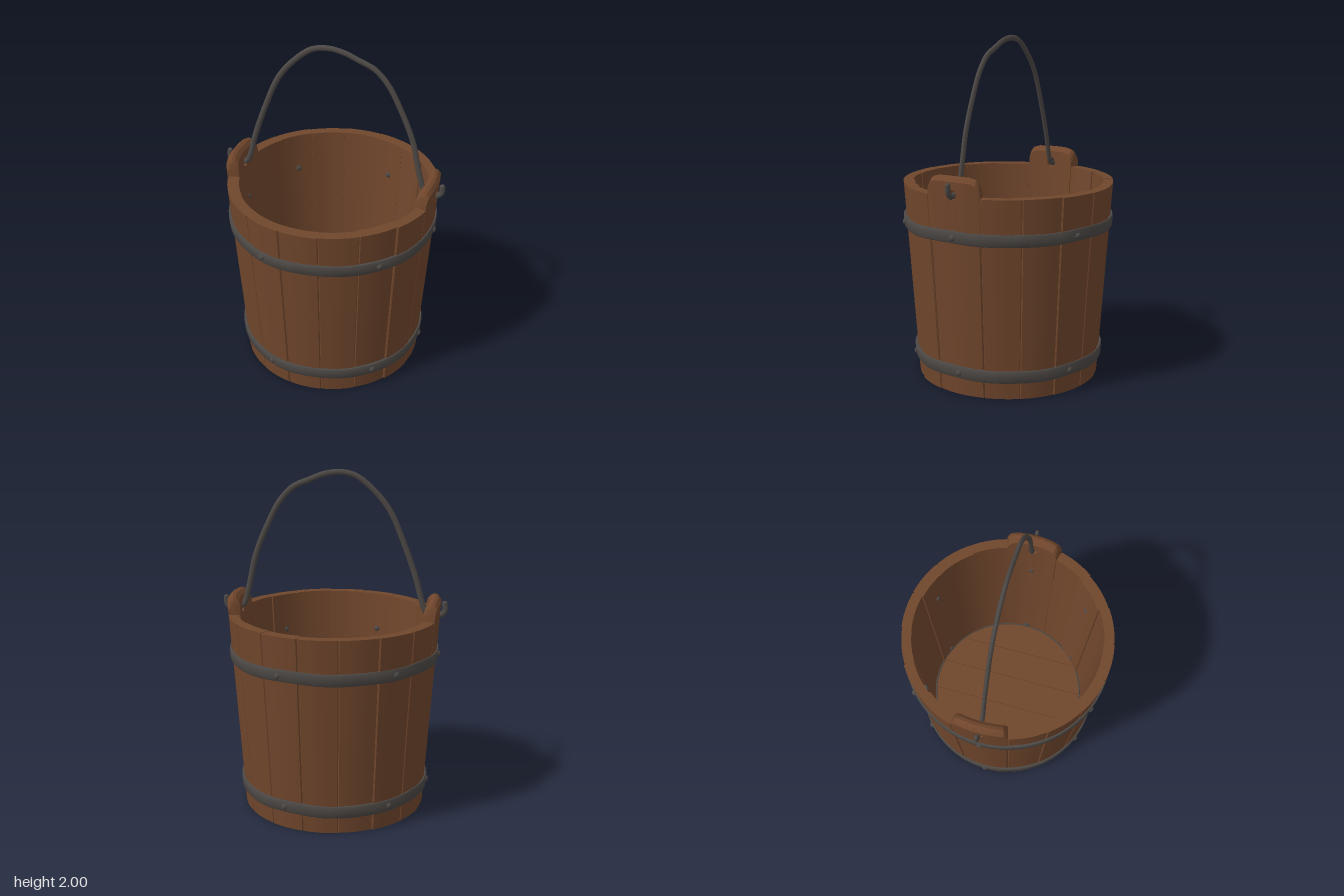
import * as THREE from 'three';
import { mergeGeometries, toCreasedNormals } from 'three/addons/utils/BufferGeometryUtils.js';

const wood = new THREE.MeshStandardMaterial({ name: 'brown wood', color: 0x70462c });
const iron = new THREE.MeshStandardMaterial({ name: 'dark iron', color: 0x4c4845 });

let seed = 7;
const jitter = (a) => {
  seed = (seed * 16807) % 2147483647;
  return (seed / 2147483647 - 0.5) * 2 * a;
};

// Outer wall radius at height y
const wallRadius = (y) => 0.543 + 0.066 * y;

function add(group, geometry, material, name) {
  const mesh = new THREE.Mesh(geometry, material);
  mesh.name = name;
  group.add(mesh);
  return mesh;
}

// Wrap a flat geometry around the tapered wall: x is angle, z is distance from the wall surface
function wrap(geometry, angle) {
  const p = geometry.attributes.position;
  for (let i = 0; i < p.count; i++) {
    const y = p.getY(i);
    const r = wallRadius(y) + p.getZ(i);
    const a = angle + p.getX(i);
    p.setXYZ(i, r * Math.sin(a), y, r * Math.cos(a));
  }
  return toCreasedNormals(geometry, 0.45);
}

// One stave with slightly eased outer edges
function stave(angle, halfAngle, height, loose = 1) {
  const depth = 0.062 + jitter(0.007) * loose;
  const offset = jitter(0.004) * loose;
  const g = new THREE.BoxGeometry(2, height, depth, 8, 1, 1);
  const p = g.attributes.position;
  for (let i = 0; i < p.count; i++) {
    const x = p.getX(i);
    const edge = Math.abs(x) > 0.99;
    const outer = p.getZ(i) > 0;
    const u = Math.abs(x) > 0.7 && !edge ? Math.sign(x) * 0.95 : x;
    const z = outer ? offset - (edge ? 0.007 : 0) : offset - depth;
    p.setXYZ(i, u * halfAngle, p.getY(i) + height / 2, z);
  }
  return wrap(g, angle);
}

// Raised ear with a hole, made from vertical strips so that it can curve
function ear(angle, half) {
  const xs = [-0.165, -0.157, -0.14, -0.1, -0.04, 0.04, 0.1, 0.14, 0.157, 0.165];
  const tops = [1.215, 1.24, 1.262, 1.273, 1.275, 1.275, 1.273, 1.262, 1.24, 1.215];
  const depth = 0.07;
  const strips = [];
  for (let i = 0; i < xs.length - 1; i++) {
    const s = new THREE.Shape([
      new THREE.Vector2(xs[i], 0.93), new THREE.Vector2(xs[i + 1], 0.93),
      new THREE.Vector2(xs[i + 1], tops[i + 1]), new THREE.Vector2(xs[i], tops[i]),
    ]);
    if (i === 4) s.holes.push(new THREE.Path().absarc(0, 1.175, 0.03, 0, Math.PI * 2, true));
    strips.push(new THREE.ExtrudeGeometry(s, { depth, steps: 4, bevelEnabled: false, curveSegments: 8 }));
  }
  const g = mergeGeometries(strips);
  const p = g.attributes.position;
  for (let i = 0; i < p.count; i++) {
    const t = (p.getZ(i) / depth) * 2 - 1;
    const y = p.getY(i);
    // Round the top edge across its thickness
    p.setXYZ(i, (p.getX(i) / 0.165) * half, y > 1.21 ? y - 0.028 * t * t : y, p.getZ(i) - depth + 0.002);
  }
  return wrap(g, angle);
}

// Flat iron band following the wall taper
function hoop(y0, y1) {
  const at = (y, d) => new THREE.Vector2(wallRadius(y) + d, y);
  const profile = [at(y0, -0.008), at(y0, 0.009), at(y0 + 0.008, 0.014), at(y1 - 0.008, 0.014),
    at(y1, 0.009), at(y1, -0.008)];
  const g = new THREE.LatheGeometry(profile, 64);
  const p = g.attributes.position;
  for (let i = 0; i < p.count; i++) {
    const a = Math.atan2(p.getX(i), p.getZ(i));
    p.setY(i, p.getY(i) + 0.003 * Math.sin(5 * a) + 0.002 * Math.sin(9 * a + 1));
  }
  return toCreasedNormals(g, 0.7);
}

// Floor board: a slice of a disc between two x positions
function board(x0, x1, radius) {
  const s = new THREE.Shape();
  const n = 12;
  for (let k = 0; k <= 2 * n + 1; k++) {
    const lower = k <= n;
    const t = lower ? k / n : (2 * n + 1 - k) / n;
    const x = x0 + (x1 - x0) * t;
    const z = Math.sqrt(Math.max(radius * radius - x * x, 0.0004));
    if (k === 0) s.moveTo(x, -z);
    else s.lineTo(x, lower ? -z : z);
  }
  const g = new THREE.ExtrudeGeometry(s, {
    depth: 0.04, bevelEnabled: true, bevelThickness: 0.004, bevelSize: 0.004, bevelOffset: -0.004, bevelSegments: 1,
  });
  g.rotateX(-Math.PI / 2);
  g.translate(0, 0.06, 0);
  return g;
}

export function createModel() {
  const model = new THREE.Group();
  model.name = 'bucket';

  // Wall: seven staves front and back, one wide eared stave on each side
  const earHalf = 0.272;
  const step = (Math.PI - 2 * earHalf) / 7;
  const staves = new THREE.Group();
  staves.name = 'staves';
  model.add(staves);
  for (const middle of [0, Math.PI]) {
    for (let k = -3; k <= 3; k++) {
      add(staves, stave(middle + k * step, step / 2, 1.16 + jitter(0.004)), wood, 'stave');
    }
  }
  for (const side of [1, -1]) {
    const label = side > 0 ? 'left' : 'right';
    add(staves, stave(side * Math.PI / 2, earHalf, 0.935, 0), wood, label + 'EarStave');
    add(staves, ear(side * Math.PI / 2, earHalf), wood, label + 'Ear');
  }

  // Floor boards and the thin ring around them
  const cuts = [-0.494, -0.31, -0.1, 0.1, 0.29, 0.494];
  for (let i = 0; i < cuts.length - 1; i++) add(model, board(cuts[i], cuts[i + 1], 0.495), wood, 'floorBoard');
  const ring = add(model, new THREE.TorusGeometry(0.486, 0.005, 6, 64), iron, 'floorRing');
  ring.rotation.x = Math.PI / 2;
  ring.position.y = 0.106;

  // Hoops with rivets, whose heads show outside and inside
  for (const [name, y0, y1] of [['lowerHoop', 0.1, 0.172], ['upperHoop', 0.9, 0.97]]) {
    add(model, hoop(y0, y1), iron, name);
    const y = (y0 + y1) / 2;
    for (const deg of [90, 43, -22, -90, -138, 158]) {
      const a = THREE.MathUtils.degToRad(deg);
      for (const d of [0.014, -0.064]) {
        const r = wallRadius(y) + d;
        const rivet = add(model, new THREE.SphereGeometry(0.018, 10, 8), iron, 'rivet');
        rivet.position.set(r * Math.sin(a), y, r * Math.cos(a));
        rivet.rotation.y = a;
        rivet.scale.z = 0.7;
      }
    }
  }

  // Bent wire handle, hooked through both ears
  const path = [
    [-0.648, 1.235], [-0.65, 1.19], [-0.622, 1.165], [-0.58, 1.17], [-0.54, 1.185], [-0.515, 1.24],
    [-0.48, 1.37], [-0.405, 1.58], [-0.32, 1.77], [-0.22, 1.89], [-0.12, 1.965], [-0.03, 1.983],
    [0.06, 1.97], [0.15, 1.935], [0.24, 1.895], [0.32, 1.81], [0.39, 1.68], [0.465, 1.5],
    [0.515, 1.29], [0.545, 1.195], [0.585, 1.17], [0.625, 1.165], [0.65, 1.19], [0.652, 1.23],
  ].map(([x, y]) => new THREE.Vector3(x, y, 0));
  const handle = new THREE.Group();
  handle.name = 'handle';
  handle.scale.z = 0.75;
  add(handle, new THREE.TubeGeometry(new THREE.CatmullRomCurve3(path), 120, 0.017, 8), iron, 'handleWire');
  for (const end of [path[0], path[path.length - 1]]) {
    add(handle, new THREE.SphereGeometry(0.017, 8, 6), iron, 'handleTip').position.copy(end);
  }
  model.add(handle);
  return model;
}
